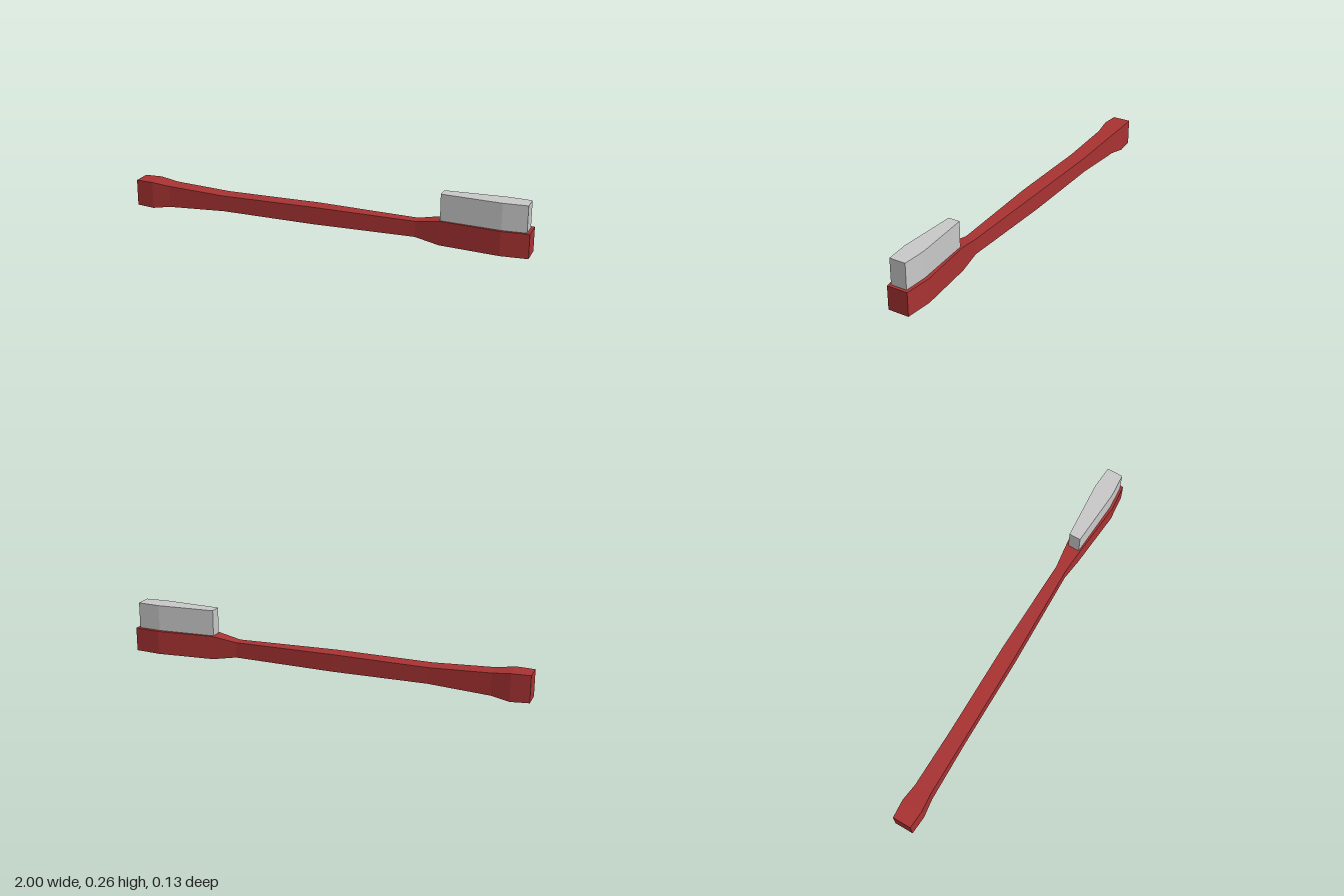
import * as THREE from 'three';

// Closed loft through rectangular sections along x: [x, bottom, top, halfWidth, zCentre]
function loft(sections) {
  const pos = [], idx = [];
  for (const [x, lo, hi, h, c = 0] of sections) {
    pos.push(x, lo, c + h, x, lo, c - h, x, hi, c - h, x, hi, c + h);
  }
  for (let s = 0; s < sections.length - 1; s++) {
    for (let i = 0; i < 4; i++) {
      const a = s * 4 + i, b = s * 4 + (i + 1) % 4;
      idx.push(a, b, b + 4, a, b + 4, a + 4);
    }
  }
  // End caps
  const e = (sections.length - 1) * 4;
  idx.push(0, 2, 1, 0, 3, 2, e, e + 1, e + 2, e, e + 2, e + 3);
  const indexed = new THREE.BufferGeometry();
  indexed.setAttribute('position', new THREE.Float32BufferAttribute(pos, 3));
  indexed.setIndex(idx);
  const geometry = indexed.toNonIndexed();
  geometry.computeVertexNormals();
  return geometry;
}

function part(name, sections, color) {
  const material = new THREE.MeshStandardMaterial({ color, flatShading: true });
  const mesh = new THREE.Mesh(loft(sections), material);
  mesh.name = name;
  return mesh;
}

export function createModel() {
  const group = new THREE.Group();
  group.name = 'toothbrush';

  // Flared grip, slim neck and widened head in one body
  group.add(part('handle', [
    [-1, 0.004, 0.135, 0.046],
    [-0.91, 0, 0.135, 0.052],
    [-0.82, 0.014, 0.123, 0.042],
    [-0.52, 0.03, 0.109, 0.039],
    [-0.05, 0.027, 0.113, 0.038],
    [0.46, 0.03, 0.107, 0.026],
    [0.58, 0.01, 0.128, 0.038],
    [0.87, 0.01, 0.128, 0.064],
    [1, 0.01, 0.128, 0.052],
  ], 0xaa3333));

  // Bristle block standing on the head
  group.add(part('bristles', [
    [0.58, 0.12, 0.257, 0.029, 0.002],
    [0.87, 0.12, 0.257, 0.048, 0.002],
    [0.985, 0.12, 0.257, 0.04, 0.002],
  ], 0xcccccc));

  return group;
}
